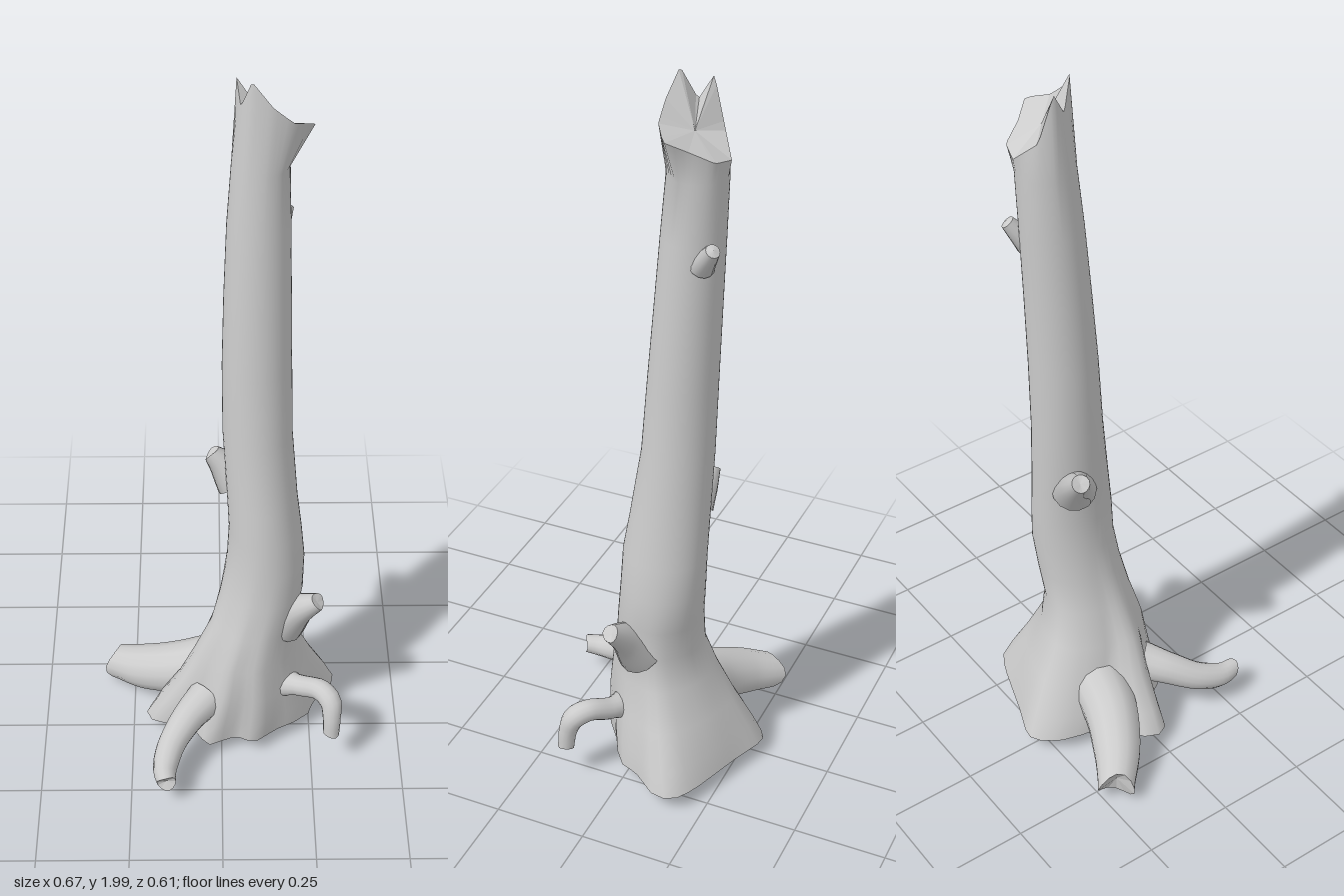
import * as THREE from 'three';

const N = 48;
const smooth = new THREE.MeshStandardMaterial({ color: 0xcccccc, side: THREE.DoubleSide });
const faceted = new THREE.MeshStandardMaterial({ color: 0xcccccc, side: THREE.DoubleSide, flatShading: true });

function geometryFrom(points, index) {
  const g = new THREE.BufferGeometry().setFromPoints(points);
  g.setIndex(index);
  g.computeVertexNormals();
  return g;
}

function addMesh(group, name, geometry, material) {
  const mesh = new THREE.Mesh(geometry, material);
  mesh.name = name;
  group.add(mesh);
}

// Point where a ray from the centre at angle a crosses a closed outline of [x, y, z]
function outlineAt(outline, cx, cz, a) {
  const dx = Math.cos(a), dz = Math.sin(a);
  for (let i = 0; i < outline.length; i++) {
    const p = outline[i], q = outline[(i + 1) % outline.length];
    const s = (p[0] - cx) * dz - (p[2] - cz) * dx;
    const e = dx * (q[2] - cz) - dz * (q[0] - cx);
    if (s >= 0 && e > 0) {
      return new THREE.Vector3(...p).lerp(new THREE.Vector3(...q), s / (s + e));
    }
  }
  return new THREE.Vector3(...outline[0]);
}

// Triangle fan closing a ring
function fan(ring, apex, up) {
  const index = [], n = ring.length;
  for (let i = 0; i < n; i++) {
    const j = (i + 1) % n;
    index.push(n, up ? j : i, up ? i : j);
  }
  return geometryFrom([...ring, apex], index);
}

// Tapered tube along a curve, closed by a splintered or rounded end
function limb(group, name, path, radii, jag = 0, sides = 14) {
  const curve = new THREE.CatmullRomCurve3(path.map(p => new THREE.Vector3(...p)));
  const steps = 20;
  const g = new THREE.TubeGeometry(curve, steps, 1, sides, false);
  const pos = g.attributes.position, v = new THREE.Vector3();
  const tangent = curve.getTangentAt(1), end = curve.getPointAt(1), ring = [];
  for (let i = 0; i <= steps; i++) {
    const c = curve.getPointAt(i / steps);
    const f = (i / steps) * (radii.length - 1);
    const k = Math.min(Math.floor(f), radii.length - 2);
    const r = THREE.MathUtils.lerp(radii[k], radii[k + 1], f - k);
    for (let j = 0; j <= sides; j++) {
      const at = i * (sides + 1) + j;
      v.fromBufferAttribute(pos, at).sub(c).multiplyScalar(r).add(c);
      if (i === steps) {
        v.addScaledVector(tangent, jag * Math.cos((j / sides) * Math.PI * 4));
        if (j < sides) ring.push(v.clone());
      }
      pos.setXYZ(at, v.x, v.y, v.z);
    }
  }
  const part = new THREE.Group();
  part.name = name;
  addMesh(part, name + 'Bark', g, smooth);
  const depth = jag ? -jag * 1.5 : radii[radii.length - 1] * 0.3;
  addMesh(part, name + 'End', fan(ring, end.addScaledVector(tangent, depth), true), faceted);
  group.add(part);
}

export function createModel() {
  const model = new THREE.Group();
  model.name = 'brokenTreeTrunk';

  // Flared, lobed foot outline
  const foot = [
    [0.33, -0.13], [0.26, -0.04], [0.25, 0], [0.2, 0.04], [0.16, 0.06], [0.09, 0.115],
    [0.04, 0.09], [-0.04, 0.125], [-0.09, 0.045], [-0.19, 0.035], [-0.215, -0.005],
    [-0.19, -0.06], [-0.1, -0.1], [-0.09, -0.18], [-0.07, -0.25], [-0.03, -0.3],
    [0, -0.31], [0.1, -0.27], [0.26, -0.215], [0.32, -0.18],
  ].map(([x, z]) => [x, 0.05, z]);

  // Splintered rim at the top
  const rim = [
    [0.222, 1.88, -0.105], [0.168, 1.9, -0.07], [0.12, 1.94, -0.067], [0.07, 2, -0.08],
    [0.045, 1.92, -0.115], [0.035, 1.98, -0.15], [0.05, 1.86, -0.185],
    [0.1, 1.81, -0.222], [0.155, 1.82, -0.205], [0.185, 1.85, -0.15],
  ];

  // Trunk levels: y, min x, max x, min z, max z, share of foot outline
  const levels = [
    [0.05, -0.1, 0.24, -0.2, 0.11, 1],
    [0.11, -0.08, 0.23, -0.2, 0.11, 0.76],
    [0.2, -0.05, 0.205, -0.18, 0.105, 0.45],
    [0.3, -0.035, 0.185, -0.15, 0.095, 0.24],
    [0.4, -0.01, 0.195, -0.145, 0.075, 0.1],
    [0.5, 0.005, 0.22, -0.16, 0.06, 0.04],
    [0.6, 0.015, 0.225, -0.175, 0.05, 0],
    [0.7, 0.02, 0.215, -0.178, 0.045, 0],
    [0.8, 0.015, 0.202, -0.18, 0.03, 0],
    [1, 0.003, 0.185, -0.185, 0.002, 0],
    [1.2, 0.001, 0.18, -0.19, -0.013, 0],
    [1.4, 0.005, 0.175, -0.197, -0.03, 0],
    [1.6, 0.012, 0.17, -0.205, -0.047, 0],
    [1.76, 0.023, 0.165, -0.212, -0.062, 0],
  ];
  const angles = Array.from({ length: N }, (_, i) => (i / N) * Math.PI * 2);
  const rings = levels.map(([y, x0, x1, z0, z1, w]) => angles.map(a => {
    const p = new THREE.Vector3(
      (x0 + x1) / 2 + Math.cos(a) * (x1 - x0) / 2, y,
      (z0 + z1) / 2 + Math.sin(a) * (z1 - z0) / 2);
    const f = outlineAt(foot, 0.05, -0.08, a);
    f.y = y;
    return p.lerp(f, w);
  }));
  rings.push(angles.map(a => outlineAt(rim, 0.1, -0.14, a)));

  const index = [];
  for (let r = 0; r < rings.length - 1; r++) {
    for (let i = 0; i < N; i++) {
      const a = r * N + i, b = r * N + (i + 1) % N;
      index.push(a, a + N, b, b, a + N, b + N);
    }
  }
  addMesh(model, 'trunk', geometryFrom(rings.flat(), index), smooth);
  addMesh(model, 'trunkUnderside', fan(rings[0], new THREE.Vector3(0.05, 0.05, -0.08), false), faceted);
  addMesh(model, 'brokenTop', fan(rings[rings.length - 1], new THREE.Vector3(0.11, 1.87, -0.135), true), faceted);

  // Roots
  limb(model, 'largeRoot',
    [[-0.02, 0.17, -0.09], [-0.12, 0.13, -0.11], [-0.22, 0.085, -0.16], [-0.297, 0.05, -0.218]],
    [0.08, 0.075, 0.066, 0.05], 0.016);
  limb(model, 'smallRoot',
    [[-0.04, 0.17, 0.05], [-0.095, 0.145, 0.11], [-0.14, 0.11, 0.18], [-0.157, 0.088, 0.25], [-0.152, 0.085, 0.298]],
    [0.055, 0.046, 0.04, 0.036, 0.026], 0.006);

  // Drooping side branch
  limb(model, 'bentBranch',
    [[0.16, 0.2, 0.02], [0.22, 0.21, 0.05], [0.275, 0.23, 0.09], [0.3, 0.215, 0.118], [0.304, 0.17, 0.135], [0.304, 0.115, 0.142]],
    [0.045, 0.03, 0.029, 0.031, 0.025, 0.022], 0.004);

  // Knots where branches broke off
  limb(model, 'lowerKnot', [[0.17, 0.4, -0.02], [0.215, 0.46, 0.005], [0.262, 0.5, 0.024]],
    [0.07, 0.045, 0.024], 0.003);
  limb(model, 'middleKnot', [[0.04, 0.82, -0.11], [0.005, 0.86, -0.125], [-0.026, 0.89, -0.134]],
    [0.06, 0.043, 0.024], 0.003);
  limb(model, 'upperKnot', [[0.135, 1.55, -0.165], [0.15, 1.58, -0.188], [0.162, 1.605, -0.205]],
    [0.035, 0.025, 0.018]);

  return model;
}
